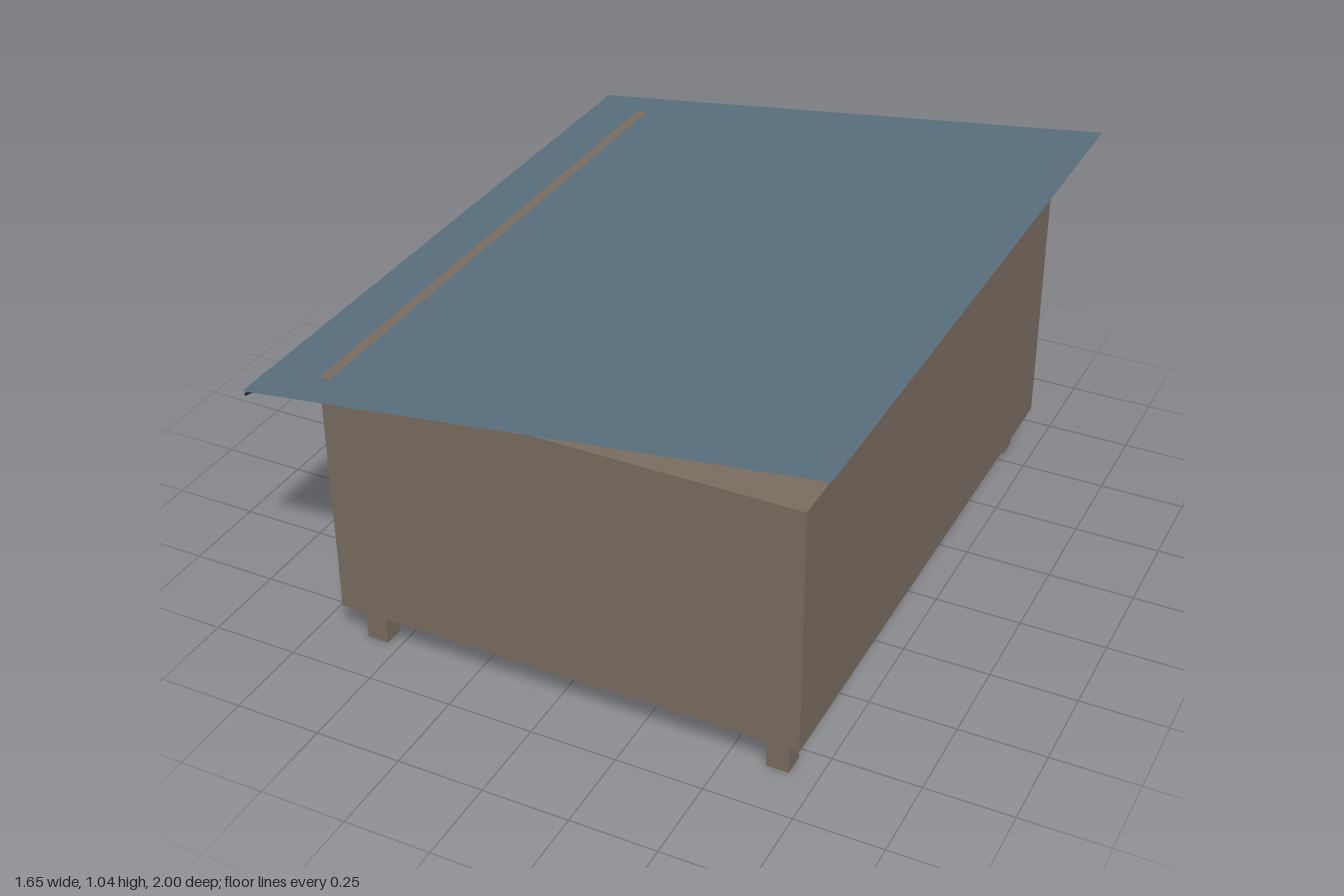
import * as THREE from 'three';

const flat = (name, color, extra = {}) => {
  const m = new THREE.MeshStandardMaterial({ color, ...extra });
  m.name = name;
  return m;
};

export function createModel() {
  const model = new THREE.Group();
  model.name = 'cabin';

  const wood = flat('weathered wood', 0x7a6c5f);
  const roofBlue = flat('slate blue roof', 0x596f7d, { side: THREE.DoubleSide });
  const doorBlue = flat('slate blue door', 0x587082);
  const glow = flat('warm yellow', 0xd6b576);
  const cord = flat('dark cord', 0x222c32);
  const bulbYellow = flat('yellow bulb', 0xd2b070, { flatShading: true });
  const bulbRed = flat('red bulb', 0xb8685c, { flatShading: true });

  const add = (name, geometry, material, x = 0, y = 0, z = 0) => {
    const mesh = new THREE.Mesh(geometry, material);
    mesh.name = name;
    mesh.position.set(x, y, z);
    model.add(mesh);
    return mesh;
  };

  // Box placed by its lower and upper corners
  const block = (name, material, [x0, y0, z0], [x1, y1, z1]) =>
    add(name, new THREE.BoxGeometry(x1 - x0, y1 - y0, z1 - z0), material,
      (x0 + x1) / 2, (y0 + y1) / 2, (z0 + z1) / 2);

  // Cabin body on four short posts
  block('body', wood, [-0.648, 0.12, -0.89], [0.717, 0.855, 0.89]);
  for (const x of [-0.57, 0.64]) {
    for (const z of [-0.817, 0.817]) {
      block('post', wood, [x - 0.032, 0, z - 0.032], [x + 0.032, 0.12, z + 0.032]);
    }
  }

  // Door and window on the low-eave side
  block('door', doorBlue, [-0.667, 0.12, -0.49], [-0.647, 0.645, -0.235]);
  block('window', glow, [-0.667, 0.385, 0.14], [-0.647, 0.645, 0.505]);

  // Thin sloping roof; the wall top just breaks through near the low eave
  const low = [-0.812, 0.83], high = [0.821, 1.04];
  const run = high[0] - low[0], rise = high[1] - low[1];
  const roofGeo = new THREE.PlaneGeometry(Math.hypot(run, rise), 2);
  roofGeo.rotateX(-Math.PI / 2);
  roofGeo.rotateZ(Math.atan2(rise, run));
  add('roof', roofGeo, roofBlue, (low[0] + high[0]) / 2, (low[1] + high[1]) / 2, 0);

  // Sagging string of lights along the low eave
  const lineX = -0.807;
  const sagY = (z) => 0.82 - 0.13 * (1 - z * z);
  const points = [];
  for (let i = 0; i <= 12; i++) {
    const z = i / 6 - 1;
    points.push(new THREE.Vector3(lineX, sagY(z), z));
  }
  add('lightCord', new THREE.TubeGeometry(new THREE.CatmullRomCurve3(points), 36, 0.004, 5), cord);

  const bulbGeo = new THREE.SphereGeometry(0.019, 7, 5);
  for (let i = 1; i <= 11; i++) {
    const z = i / 6 - 1;
    add('bulb', bulbGeo, i % 2 ? bulbYellow : bulbRed, lineX, sagY(z) - 0.03, z);
  }

  return model;
}
